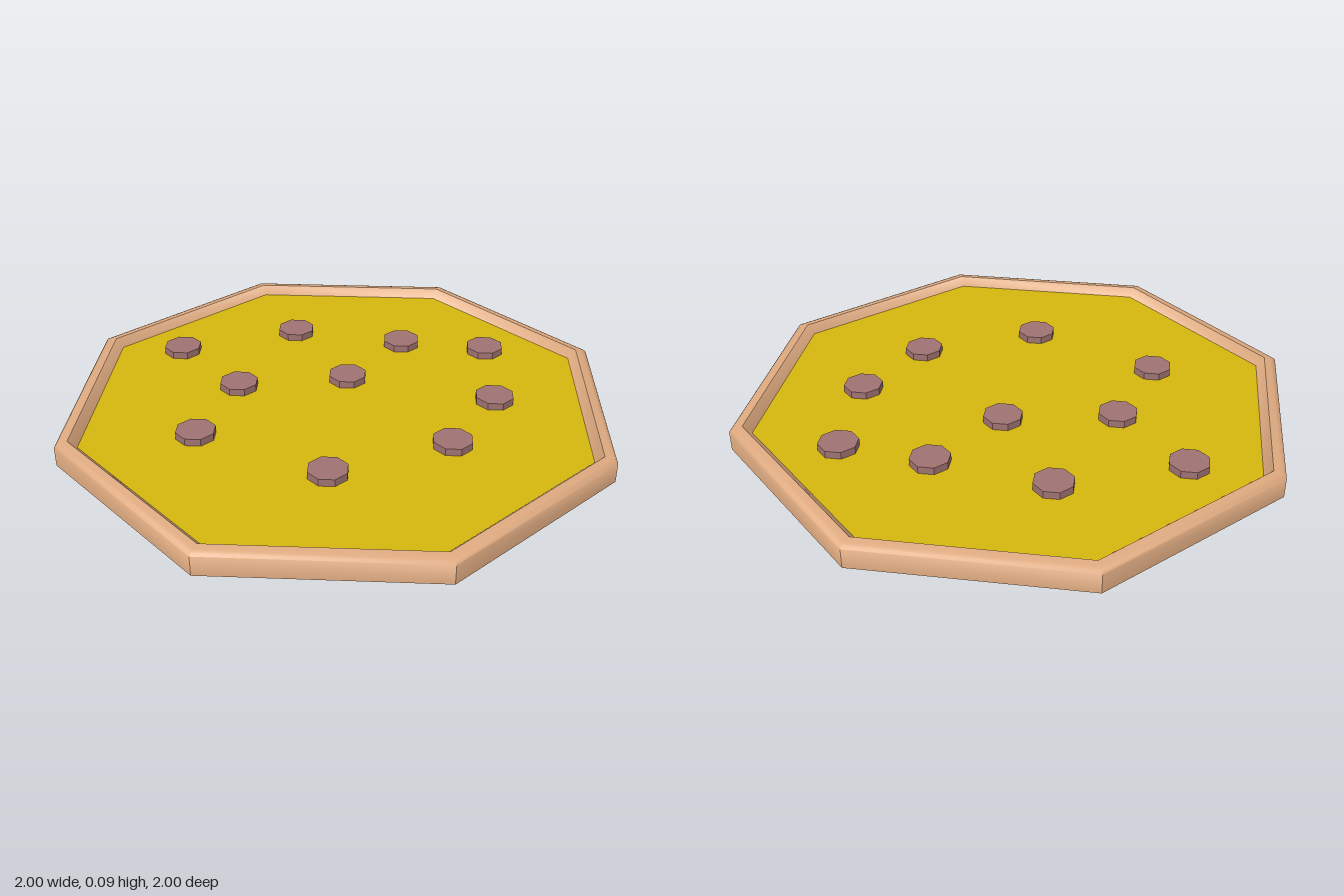
import * as THREE from 'three';
import { toCreasedNormals } from 'three/addons/utils/BufferGeometryUtils.js';

const SIDES = 8;
const CHEESE_Y = 0.055;

export function createModel() {
  const model = new THREE.Group();
  const material = (color, flatShading = false) => new THREE.MeshStandardMaterial({ color, flatShading });
  const add = (name, geometry, mat, parent = model) => {
    const mesh = new THREE.Mesh(geometry, mat);
    mesh.name = name;
    parent.add(mesh);
    return mesh;
  };
  const crustMat = material(0xdeaa80);
  const cheeseMat = material(0xd6b60e);
  const toppingMat = material(0xa07272, true);

  // Crust rim: rounded shoulder outside, sloping wall inside
  const profile = [
    [1, 0], [1, 0.07], [0.993, 0.078], [0.98, 0.083], [0.955, 0.086], [0.925, CHEESE_Y],
  ].map(([r, y]) => new THREE.Vector2(r, y));
  const rim = new THREE.LatheGeometry(profile, SIDES);
  add('crustRim', toCreasedNormals(rim, THREE.MathUtils.degToRad(42)), crustMat);

  // Flat underside
  const base = new THREE.CircleGeometry(1, SIDES).rotateX(Math.PI / 2);
  add('crustBase', base, crustMat);

  // Cheese layer
  const cheese = new THREE.CircleGeometry(0.925, SIDES).rotateX(-Math.PI / 2);
  add('cheese', cheese, cheeseMat).position.y = CHEESE_Y;

  // Sausage slices scattered over the cheese, as x, z
  const slices = new THREE.Group();
  slices.name = 'sausageSlices';
  model.add(slices);
  const slice = new THREE.CylinderGeometry(0.07, 0.07, 0.028, SIDES);
  const spots = [
    [-0.44, -0.55], [0.015, -0.545], [0.37, -0.32], [0.65, -0.16], [-0.31, -0.21],
    [0.08, -0.13], [-0.535, 0.06], [0.52, 0.19], [0.26, 0.405], [-0.19, 0.43],
  ];
  for (const [x, z] of spots) {
    add('sausageSlice', slice, toppingMat, slices).position.set(x, CHEESE_Y + 0.012, z);
  }
  return model;
}
